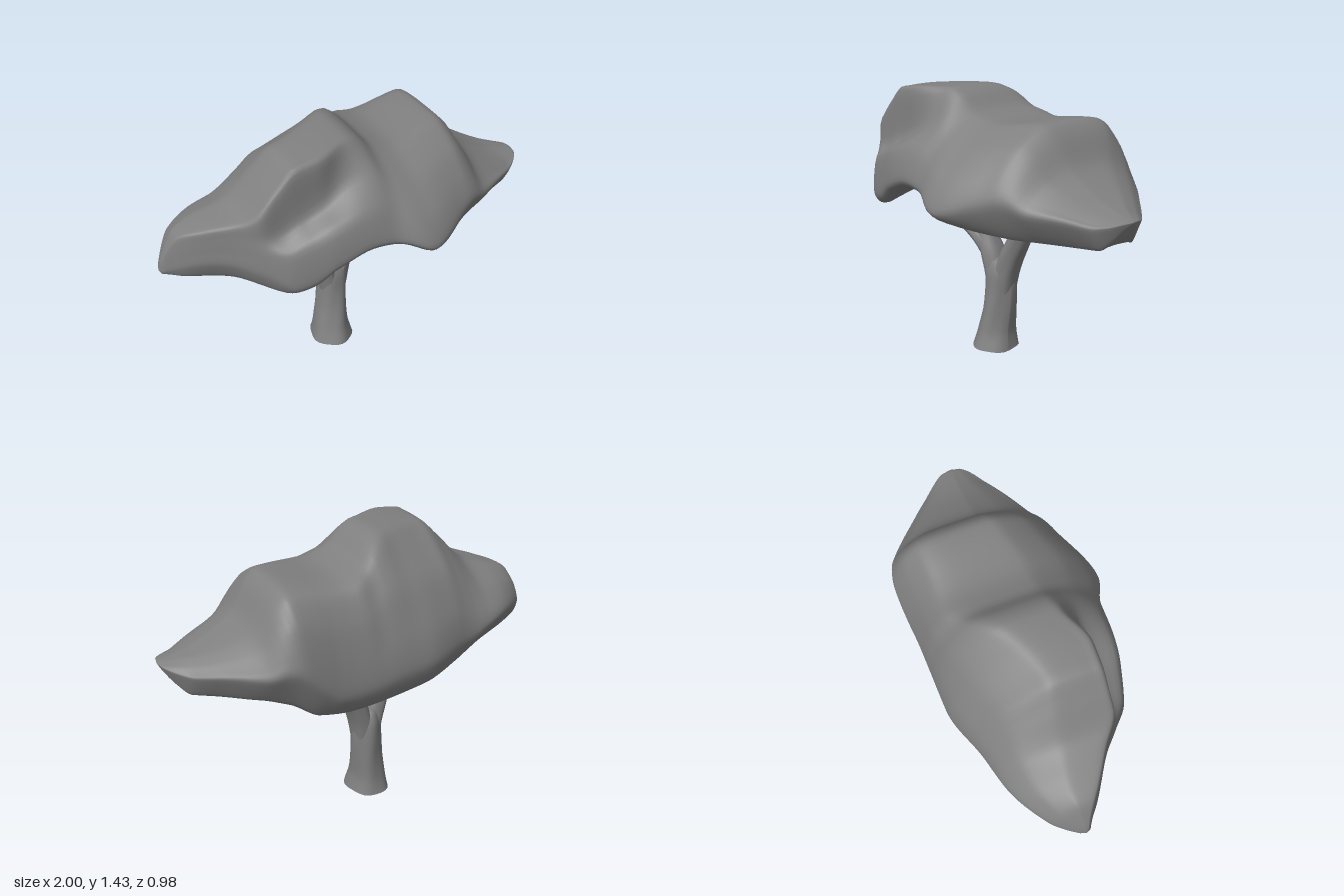
import * as THREE from 'three';

const lerp = THREE.MathUtils.lerp;
const bark = new THREE.MeshStandardMaterial({ color: 0x808080, side: THREE.DoubleSide });
const leaf = new THREE.MeshStandardMaterial({ color: 0x808080, side: THREE.DoubleSide });

// Smooth value at x through a list of [x, value] points (limited cubic Hermite)
function along(pts, x) {
  let i = 0;
  while (i < pts.length - 2 && x > pts[i + 1][0]) i++;
  const slope = (k) => (pts[k + 1][1] - pts[k][1]) / (pts[k + 1][0] - pts[k][0]);
  const tangent = (k) => {
    if (k === 0) return slope(0);
    if (k === pts.length - 1) return slope(k - 1);
    const a = slope(k - 1), b = slope(k);
    return a * b <= 0 ? 0 : (2 * a * b) / (a + b);
  };
  const [x0, y0] = pts[i], [x1, y1] = pts[i + 1], h = x1 - x0, t = (x - x0) / h;
  const t2 = t * t, t3 = t2 * t;
  return (2 * t3 - 3 * t2 + 1) * y0 + (t3 - 2 * t2 + t) * h * tangent(i)
    + (3 * t2 - 2 * t3) * y1 + (t3 - t2) * h * tangent(i + 1);
}

// Guide curves of the canopy, all running from its right tip to its left tip
const topY = [[-1, 0.9], [-0.97, 0.97], [-0.9, 1.08], [-0.8, 1.12], [-0.65, 1.17], [-0.5, 1.32], [-0.4, 1.405],
  [-0.1, 1.43], [-0.03, 1.405], [0.06, 1.325], [0.2, 1.29], [0.47, 1.315], [0.53, 1.27], [0.62, 1.13], [0.72, 1.06], [0.85, 1.0], [1, 0.96]];
const frontZ = [[-1, -0.03], [-0.95, 0], [-0.9, 0.04], [-0.7, 0.17], [-0.6, 0.26], [-0.48, 0.36], [-0.2, 0.42],
  [0, 0.43], [0.18, 0.49], [0.45, 0.37], [0.8, 0.19], [0.94, 0.1], [0.985, 0.05], [1, 0.01]];
const frontY = [[-1, 0.87], [-0.9, 0.85], [-0.7, 0.84], [-0.5, 0.79], [-0.4, 0.81], [-0.28, 0.89], [-0.1, 0.95],
  [0.05, 0.935], [0.22, 0.86], [0.5, 0.81], [0.88, 0.82], [0.94, 0.87], [1, 0.95]];
const backZ = [[-1, -0.06], [-0.95, -0.14], [-0.9, -0.2], [-0.7, -0.32], [-0.5, -0.37], [-0.2, -0.46], [0.18, -0.47],
  [0.45, -0.49], [0.55, -0.47], [0.8, -0.27], [0.94, -0.13], [0.985, -0.07], [1, -0.03]];
const backY = [[-1, 0.87], [-0.9, 0.86], [-0.7, 0.84], [-0.45, 0.77], [-0.2, 0.72], [0.2, 0.68], [0.36, 0.7],
  [0.5, 0.79], [0.62, 0.82], [0.88, 0.82], [0.94, 0.87], [1, 0.95]];
const plateauFrontZ = [[-1, -0.04], [-0.95, -0.015], [-0.85, 0.055], [-0.7, 0.15], [-0.57, 0.235], [-0.3, 0.235],
  [-0.1, 0.16], [0.05, 0.14], [0.2, 0.14], [0.43, 0.08], [0.6, 0.03], [1, 0]];
const plateauBackZ = [[-1, -0.05], [-0.8, -0.1], [-0.42, -0.07], [-0.2, -0.14], [0, -0.26], [0.12, -0.33],
  [0.47, -0.34], [0.65, -0.25], [1, -0.02]];
const underY = [[-1, 0.88], [-0.9, 0.86], [-0.6, 0.85], [-0.3, 0.91], [0, 0.95], [0.3, 0.9], [0.6, 0.84], [0.88, 0.825], [0.94, 0.87], [1, 0.95]];
// How strongly the front of the high crown drops to a ledge
const cliff = [[-1, 0], [-0.7, 0], [-0.5, 0.9], [-0.3, 1], [-0.12, 0.4], [0.05, 0], [1, 0]];
// Height of the widest edge, as a share of the canopy's thickness
const rimShare = [[-1, 0.2], [-0.8, 0.33], [-0.6, 0.22], [-0.45, 0.1], [0.15, 0.1], [0.4, 0.28], [0.6, 0.42], [0.85, 0.6], [1, 0.6]];

// One closed cross-section of the canopy at x, as [z, y] points smoothed into a loop
function canopySection(x, count) {
  const yt = along(topY, x), zf = along(frontZ, x), yf = along(frontY, x), zb = along(backZ, x), yb = along(backY, x);
  const pf = Math.min(along(plateauFrontZ, x), zf), pb = Math.max(along(plateauBackZ, x), zb);
  const yu = Math.min(along(underY, x), yt), c = along(cliff, x);
  const rim = along(rimShare, x), rimB = Math.max(0.18, rim), inset = 0.06 + (rim - 0.1) * 0.22;
  const front = (t) => lerp(yf, yt, lerp(rim, 1, t)), back = (t) => lerp(yb, yt, lerp(rimB, 1, t));
  const points = [
    [lerp(zf, zb, inset), yf],
    [zf, front(0)],
    [lerp(zf, pf, 0.18), front(0.36)],
    [lerp(zf, pf, lerp(0.55, 0.9, c)), front(lerp(0.72, 0.5, c))],
    [pf, front(0.955)],
    [lerp(pf, pb, 0.2), yt],
    [lerp(pf, pb, 0.75), yt],
    [pb, back(0.93)],
    [lerp(pb, zb, 0.55), back(0.66)],
    [lerp(pb, zb, 0.9), back(0.29)],
    [zb, back(0)],
    [lerp(zb, zf, inset), yb],
    [lerp(zb, zf, inset + 0.08), lerp(yb, yu, 0.25)],
    [lerp(zb, zf, inset + 0.2), lerp(yb, yu, 0.75)],
    [lerp(zb, zf, 0.55), yu],
    [lerp(zb, zf, 0.88 - inset), lerp(yu, yf, 0.7)],
  ].map(([z, y]) => new THREE.Vector3(x, y, z));
  const curve = new THREE.CatmullRomCurve3(points, true, 'catmullrom', 0.4);
  return Array.from({ length: count }, (_, j) => curve.getPoint(j / count));
}

function canopy() {
  const stations = 96, count = 80, positions = [], index = [];
  for (let i = 0; i <= stations; i++) {
    const x = lerp(-Math.cos((i / stations) * Math.PI), (2 * i) / stations - 1, 0.5);
    const ring = canopySection(x, count);
    // The first and last rings close to a point
    if (i === 0 || i === stations) {
      const centre = ring.reduce((s, p) => s.add(p), new THREE.Vector3()).divideScalar(count);
      ring.forEach((p) => p.copy(centre));
    }
    ring.forEach((p) => positions.push(p.x, p.y, p.z));
  }
  for (let i = 0; i < stations; i++) {
    for (let j = 0; j < count; j++) {
      const k = (j + 1) % count, a = i * count + j, b = a + count, c = i * count + k, d = c + count;
      index.push(a, b, c, b, d, c);
    }
  }
  const g = new THREE.BufferGeometry();
  g.setAttribute('position', new THREE.Float32BufferAttribute(positions, 3));
  g.setIndex(index);
  g.computeVertexNormals();
  const mesh = new THREE.Mesh(g, leaf);
  mesh.name = 'canopy';
  return mesh;
}

// Tapered, lightly ridged limb through [x, y, z, radius] points
function limb(name, pts, depth = 1, ridge = 0.035) {
  const curve = new THREE.CatmullRomCurve3(pts.map((p) => new THREE.Vector3(p[0], p[1], p[2])));
  const radii = pts.map((p, k) => [k / (pts.length - 1), p[3]]);
  const steps = 32, sides = 28;
  const g = new THREE.TubeGeometry(curve, steps, 1, sides);
  const pos = g.attributes.position, v = new THREE.Vector3();
  for (let i = 0; i <= steps; i++) {
    const centre = curve.getPointAt(i / steps);
    const radius = along(radii, curve.getUtoTmapping(i / steps));
    for (let j = 0; j <= sides; j++) {
      const n = i * (sides + 1) + j, angle = (j / sides) * Math.PI * 2;
      const bump = 1 + ridge * Math.sin(angle * 5 + i * 0.12) + ridge * 0.5 * Math.sin(angle * 3 - i * 0.2);
      v.fromBufferAttribute(pos, n).sub(centre).multiplyScalar(radius * bump);
      v.z *= depth;
      v.add(centre);
      pos.setXYZ(n, v.x, Math.max(v.y, 0.005), v.z);
    }
  }
  g.computeVertexNormals();
  const mesh = new THREE.Mesh(g, bark);
  mesh.name = name;
  return mesh;
}

export function createModel() {
  const tree = new THREE.Group();
  tree.name = 'tree';
  tree.add(canopy());

  // Trunk with a flared foot, open underneath
  tree.add(limb('trunk', [[-0.055, 0.005, -0.113, 0.112], [-0.052, 0.1, -0.12, 0.092], [-0.04, 0.22, -0.13, 0.081],
    [-0.034, 0.33, -0.137, 0.077], [-0.032, 0.42, -0.138, 0.074], [-0.032, 0.49, -0.138, 0.056], [-0.032, 0.525, -0.138, 0.01]], 1.17));

  // Two main limbs growing out of the trunk
  tree.add(limb('leftLimb', [[-0.02, 0.26, -0.138, 0.05], [-0.008, 0.4, -0.14, 0.06], [0.025, 0.51, -0.148, 0.058],
    [0.08, 0.63, -0.16, 0.053], [0.12, 0.74, -0.167, 0.05], [0.135, 0.86, -0.167, 0.046], [0.15, 0.98, -0.165, 0.04]], 1.25));
  tree.add(limb('rightLimb', [[-0.045, 0.26, -0.135, 0.05], [-0.058, 0.4, -0.132, 0.06], [-0.09, 0.51, -0.125, 0.059],
    [-0.135, 0.63, -0.115, 0.048], [-0.16, 0.74, -0.12, 0.041], [-0.155, 0.86, -0.125, 0.036], [-0.135, 1.0, -0.12, 0.03]], 1.2));

  // Thinner branches
  tree.add(limb('sideBranch', [[-0.07, 0.46, -0.11, 0.03], [-0.14, 0.59, -0.085, 0.042], [-0.26, 0.665, -0.065, 0.034],
    [-0.36, 0.71, -0.045, 0.03], [-0.425, 0.75, -0.03, 0.025], [-0.45, 0.785, -0.025, 0.006]]));
  tree.add(limb('leftTwig', [[0.1, 0.7, -0.155, 0.025], [0.09, 0.82, -0.145, 0.027], [0.065, 0.9, -0.14, 0.023], [0.05, 1.0, -0.13, 0.02]]));
  tree.add(limb('rightTwig', [[-0.16, 0.72, -0.12, 0.025], [-0.185, 0.83, -0.115, 0.027], [-0.215, 0.91, -0.11, 0.023], [-0.23, 1.0, -0.1, 0.02]]));
  return tree;
}
